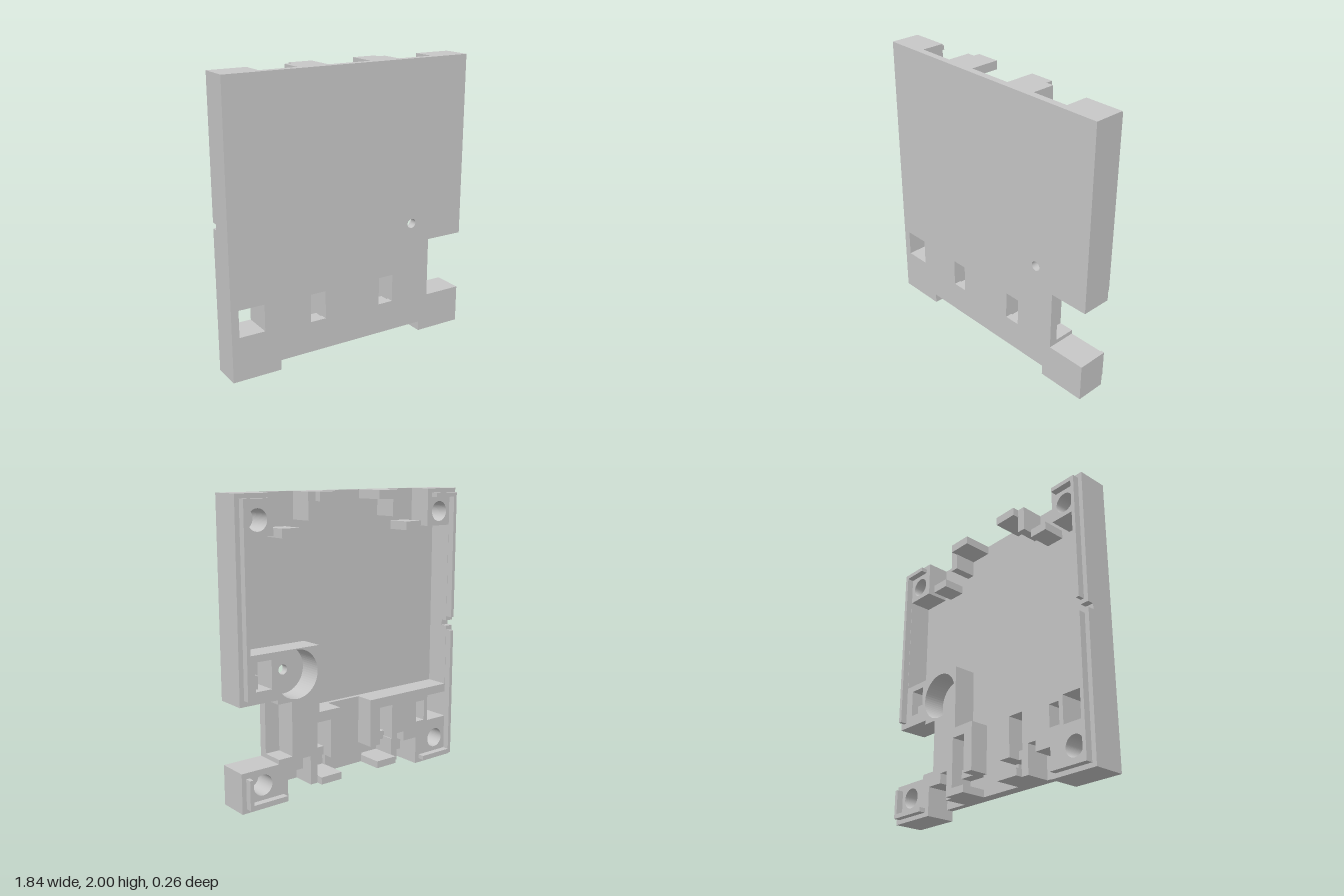
import * as THREE from 'three';

const grey = new THREE.MeshStandardMaterial({ color: 0xc7c7c7 });
grey.name = 'plain grey';

const FLOOR = 0.08, FRONT = 0.13, RIM = -0.085, LIP = -0.132;

// Rectangle corners, always counter-clockwise
const rect = (a, b, y0, y1) => {
  const x0 = Math.min(a, b), x1 = Math.max(a, b);
  return [[x0, y0], [x1, y0], [x1, y1], [x0, y1]];
};
const toPath = (pts) => new THREE.Path(pts.map(([x, y]) => new THREE.Vector2(x, y)));
const circle = (x, y, r) => new THREE.Path().absarc(x, y, r, 0, Math.PI * 2, true);

export function createModel() {
  const model = new THREE.Group();
  model.name = 'housingShell';

  const add = (name, geometry) => {
    const mesh = new THREE.Mesh(geometry, grey);
    mesh.name = name;
    model.add(mesh);
  };
  const box = (name, x0, x1, y0, y1, z0, z1) => {
    const g = new THREE.BoxGeometry(Math.abs(x1 - x0), y1 - y0, z1 - z0);
    g.translate((x0 + x1) / 2, (y0 + y1) / 2, (z0 + z1) / 2);
    add(name, g);
  };
  // Flat outline with holes, extruded between two depths
  const slab = (name, outline, holes, z0, z1) => {
    const shape = new THREE.Shape(outline.map(([x, y]) => new THREE.Vector2(x, y)));
    shape.holes.push(...holes);
    const g = new THREE.ExtrudeGeometry(shape, { depth: z1 - z0, bevelEnabled: false, curveSegments: 32 });
    g.translate(0, 0, z0);
    add(name, g);
  };

  // Front plate with windows, side cutout and shallow bottom cutout
  slab('frontPlate', [
    [-0.92, 0], [-0.57, 0], [-0.57, 0.07], [0.57, 0.07], [0.57, 0], [0.92, 0],
    [0.92, 0.27], [0.637, 0.27], [0.637, 0.7], [0.92, 0.7], [0.92, 2], [-0.92, 2],
  ], [
    toPath(rect(-0.867, -0.682, 0.31, 0.5)),
    toPath(rect(-0.337, -0.222, 0.29, 0.49)),
    toPath(rect(0.213, 0.328, 0.29, 0.49)),
    circle(0.485, 0.845, 0.034),
  ], FLOOR, FRONT);

  // Side walls; the right one has a small notch
  box('leftWall', 0.86, 0.92, 1.01, 1.75, RIM, FLOOR);
  box('rightWallUpper', -0.92, -0.86, 1.04, 1.75, RIM, FLOOR);
  box('rightWallLower', -0.92, -0.86, 0.56, 1.0, RIM, FLOOR);
  box('rightWallNotchFloor', -0.92, -0.86, 1.0, 1.04, -0.04, FLOOR);

  // Left inner body with round well, pocket and recessed cutout wall
  slab('leftBody', [
    [0.31, 1.015], [0.31, 0.56], [0.135, 0.56], [0.135, 0.22], [0.213, 0.22],
    [0.213, 0.49], [0.328, 0.49], [0.328, 0.22], [0.385, 0.22], [0.385, 0.27],
    [0.637, 0.27], [0.637, 0.3], [0.53, 0.3], [0.53, 0.67], [0.637, 0.67],
    [0.637, 0.7], [0.92, 0.7], [0.92, 1.015],
  ], [circle(0.485, 0.845, 0.163), toPath(rect(0.68, 0.8, 0.78, 0.97))], RIM, FLOOR);
  box('pocketStep', 0.75, 0.8, 0.78, 0.87, -0.03, FLOOR);
  box('cutoutLedge', 0.53, 0.637, 0.3, 0.67, 0.07, FLOOR);

  // Right inner body
  slab('rightBody', [
    [-0.135, 0.56], [-0.92, 0.56], [-0.92, 0.27], [-0.385, 0.27], [-0.385, 0.22],
    [-0.337, 0.22], [-0.337, 0.49], [-0.222, 0.49], [-0.222, 0.22], [-0.135, 0.22],
  ], [
    toPath(rect(-0.867, -0.682, 0.31, 0.5)),
    toPath(rect(-0.65, -0.57, 0.32, 0.47)),
  ], RIM, FLOOR);

  // Thicker floor between the two bodies
  box('middleFloor', -0.165, 0.165, 0.07, 0.56, 0.05, FLOOR);

  // Features that repeat on both sides
  for (const s of [-1, 1]) {
    const side = s > 0 ? 'left' : 'right';
    const sbox = (name, x0, x1, ...rest) => box(side + name, s * x0, s * x1, ...rest);

    // Corner blocks with screw holes
    slab(side + 'TopCorner', rect(s * 0.65, s * 0.92, 1.74, 2),
      [circle(s * 0.762, 1.84, 0.07)], RIM, FLOOR);
    slab(side + 'BottomCorner', rect(s * 0.57, s * 0.92, 0, 0.27),
      [circle(s * 0.762, 0.16, 0.07)], RIM, FLOOR);

    // Snap tabs, posts and small rests along the top and bottom edges
    sbox('TopTab', 0.16, 0.33, 1.94, 2, LIP, FLOOR);
    sbox('TopPost', 0.325, 0.385, 1.82, 2, RIM, FLOOR);
    sbox('TopRest', 0.45, 0.585, 1.72, 1.78, RIM, FLOOR);
    sbox('BottomTab', 0.16, 0.33, 0.07, 0.12, LIP, FLOOR);
    sbox('BottomPost', 0.328, 0.385, 0.07, 0.24, RIM, FLOOR);
    sbox('BottomRest', 0.45, 0.585, 0.2, 0.275, RIM, FLOOR);
    sbox('WindowShelf', 0.21, 0.34, 0.22, 0.28, 0, FLOOR);

    // Raised locating lip
    sbox('TopLip', 0.69, 0.888, 1.94, 1.97, LIP, RIM);
    sbox('BottomLip', 0.605, 0.888, 0.03, 0.06, LIP, RIM);
    const runs = s > 0 ? [[0.03, 0.23], [0.74, 1.97]] : [[0.03, 0.97], [1.07, 1.97]];
    for (const [y0, y1] of runs) sbox('SideLip', 0.862, 0.888, y0, y1, LIP, RIM);
  }
  return model;
}
